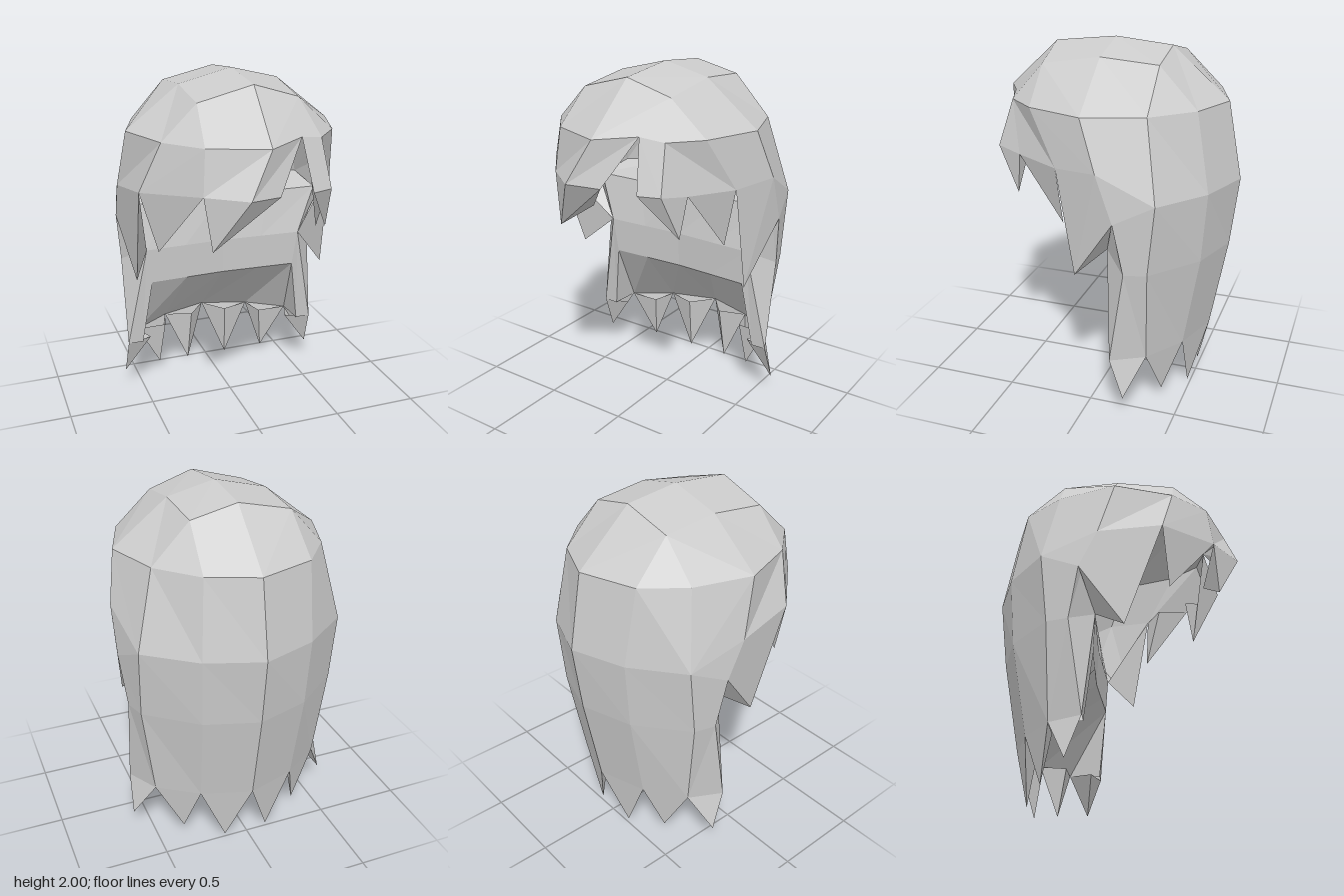
import * as THREE from 'three';

const material = new THREE.MeshStandardMaterial({
  color: 0xcccccc, flatShading: true, side: THREE.DoubleSide,
});

// Mesh from a list of triangles, each three [x, y, z] corners
function facets(name, triangles) {
  const geometry = new THREE.BufferGeometry();
  geometry.setAttribute('position', new THREE.Float32BufferAttribute(triangles.flat(2), 3));
  geometry.computeVertexNormals();
  const mesh = new THREE.Mesh(geometry, material);
  mesh.name = name;
  return mesh;
}

// Triangles spanning rows of points; repeated points collapse a quad to a triangle
function skin(rows) {
  const out = [];
  const add = (a, b, c) => { if (a !== b && b !== c && a !== c) out.push([a, b, c]); };
  for (let r = 0; r + 1 < rows.length; r++) {
    for (let c = 0; c + 1 < rows[r].length; c++) {
      const [a, b, d, e] = [rows[r][c], rows[r][c + 1], rows[r + 1][c], rows[r + 1][c + 1]];
      add(a, d, b);
      add(b, d, e);
    }
  }
  return out;
}

// Pointed tuft hanging from edge a-b, with an inner corner giving it thickness
function tuft(a, b, tip, inset = 0.82) {
  const c = [0, 1, 2].map(i => (a[i] + b[i]) / 2 * (i === 1 ? 1 : inset));
  return [[a, tip, b], [b, tip, c], [c, tip, a]];
}

const flip = p => [-p[0], p[1], p[2]];
const mirrorRow = half => [...half.map(flip), ...half.slice(0, -1).reverse()];

export function createModel() {
  const group = new THREE.Group();
  group.name = 'hair';

  // Rim of the crown, from the back round each side to the parting
  const backR = [-0.32, 1.69, -0.52], backMid = [0, 1.69, -0.63], backL = [0.27, 1.69, -0.52];
  const rimR = [[-0.49, 1.69, -0.31], [-0.6, 1.69, 0.01], [-0.49, 1.69, 0.33], [-0.32, 1.69, 0.53]];
  const rimL = [[0.47, 1.69, -0.31], [0.58, 1.69, 0.01], [0.47, 1.69, 0.33], [0.33, 1.69, 0.49]];
  const partR = [-0.01, 1.69, 0.65], partL = [0.2, 1.71, 0.53];

  // Crown: a coarse rounded grid
  group.add(facets('crown', [
    ...skin([
      [backR, backR, backMid, backL, backL],
      [rimR[0], [-0.3, 1.9, -0.31], [0, 1.97, -0.31], [0.26, 1.91, -0.31], rimL[0]],
      [rimR[1], [-0.3, 1.925, 0.01], [0, 2, 0.01], [0.27, 1.935, 0.01], rimL[1]],
      [rimR[2], [-0.3, 1.88, 0.34], [0, 1.96, 0.36], [0.26, 1.88, 0.34], rimL[2]],
      [rimR[3], rimR[3], partR, partL, rimL[3]],
    ]),
    [[0.26, 1.88, 0.34], partL, rimL[3]],
    [[0.26, 1.88, 0.34], rimL[3], rimL[2]],
  ]));

  // Back sheet: half rows from the side to the middle, mirrored
  const nape = mirrorRow([[0.58, 1.26, -0.39], [0.31, 1.26, -0.6], [0, 1.26, -0.71]]);
  const mid = mirrorRow([[0.57, 0.87, -0.35], [0.3, 0.87, -0.57], [0, 0.87, -0.665]]);
  const hem = mirrorRow([[0.5, 0.34, -0.33], [0.28, 0.34, -0.48], [0, 0.34, -0.57]]);
  group.add(facets('backHair', skin([
    [rimR[0], backR, backMid, backL, rimL[0]], nape, mid, hem,
  ])));

  // Inner lining: ledge, neck wall and slanted underside
  const lining = [
    nape,
    mirrorRow([[0.6, 1.22, -0.15], [0.3, 1.22, -0.15], [0, 1.22, -0.15]]),
    mirrorRow([[0.48, 0.95, -0.1], [0.24, 0.95, -0.11], [0, 0.95, -0.12]]),
    mirrorRow([[0.45, 0.74, -0.11], [0.23, 0.74, -0.12], [0, 0.74, -0.13]]),
    hem,
  ];
  group.add(facets('lining', skin(lining)));

  // Side curtains: outer strip, front edge and the inner return, on both sides
  const corner = [0.635, 1.16, -0.18], hemFront = [0.6, 0.34, -0.15], hemInner = [0.51, 0.34, -0.15];
  const curtain = [
    ...skin([
      [[0.58, 1.26, -0.39], corner, [0.6, 1.22, -0.15]],
      [[0.57, 0.87, -0.35], [0.605, 0.87, -0.23], [0.48, 0.95, -0.1]],
      [[0.5, 0.34, -0.33], hemFront, hemInner],
    ]),
    [[0.48, 0.95, -0.1], [0.45, 0.74, -0.11], hemInner],
    [[0.45, 0.74, -0.11], [0.5, 0.34, -0.33], hemInner],
  ];
  // Hem points
  const hemTufts = [
    ...tuft(hemFront, [0.5, 0.34, -0.33], [0.61, 0.12, -0.23]),
    ...tuft([0.5, 0.34, -0.33], [0.28, 0.34, -0.48], [0.35, 0.06, -0.38]),
    ...tuft([0.28, 0.34, -0.48], [0, 0.34, -0.57], [0.13, 0, -0.48]),
  ];
  const mirrored = list => list.map(([a, b, c]) => [flip(a), flip(c), flip(b)]);
  group.add(facets('leftCurtain', curtain), facets('rightCurtain', mirrored(curtain)));
  group.add(facets('leftHemTufts', hemTufts), facets('rightHemTufts', mirrored(hemTufts)));

  // Fringe panels below the rim
  const lowR = [[-0.64, 1.37, -0.08], [-0.6, 1.42, 0.27], [-0.34, 1.45, 0.56], [-0.14, 1.45, 0.71]];
  const lowL = [[0.635, 1.42, -0.09], [0.55, 1.4, 0.16], [0.42, 1.41, 0.42], [0.36, 1.43, 0.57], [0.24, 1.43, 0.61]];
  const foldR = [0.04, 1.44, 0.65];
  group.add(facets('rightFringe', [
    ...skin([[...rimR.slice(1), partR], lowR]),
    ...skin([[partR, partL], [lowR[3], foldR]]),
    ...tuft(lowR[1], lowR[2], [-0.51, 1.09, 0.3]),
    [lowR[2], [-0.3, 1.16, 0.58], lowR[3]],
    ...skin([[lowR[3], foldR], [[-0.3, 1.16, 0.58], [-0.13, 1.28, 0.5]]]),
    [lowR[2], [-0.3, 1.16, 0.58], [-0.13, 1.28, 0.5]],
  ]));
  group.add(facets('leftFringe', [
    ...skin([[rimL[1], rimL[2], rimL[3], rimL[3], partL], lowL]),
    ...tuft(lowL[1], lowL[2], [0.48, 1.07, 0.15]),
    ...tuft(lowL[2], lowL[3], [0.39, 1.18, 0.45]),
    [lowL[3], [0.39, 1.18, 0.45], lowL[4]],
    [lowL[4], [0.39, 1.18, 0.45], partL],
  ]));

  // Side locks: temple panel, pointed lock and its inner face
  const lock = (rimBack, rimSide, napeSide, low, gap, tip, edge, inner) => [
    [rimBack, napeSide, rimSide], [rimSide, napeSide, low], [low, napeSide, edge],
    [low, edge, tip], [low, tip, gap], [edge, inner, tip], [inner, gap, tip],
  ];
  group.add(facets('leftLock', lock(rimL[0], rimL[1], nape[4], lowL[0], lowL[1],
    [0.56, 0.81, 0.06], corner, [0.48, 0.95, -0.1])));
  group.add(facets('rightLock', lock(rimR[0], rimR[1], nape[0], lowR[0], lowR[1],
    [-0.58, 0.84, 0.06], flip(corner), [-0.48, 0.95, -0.1])));

  return group;
}
